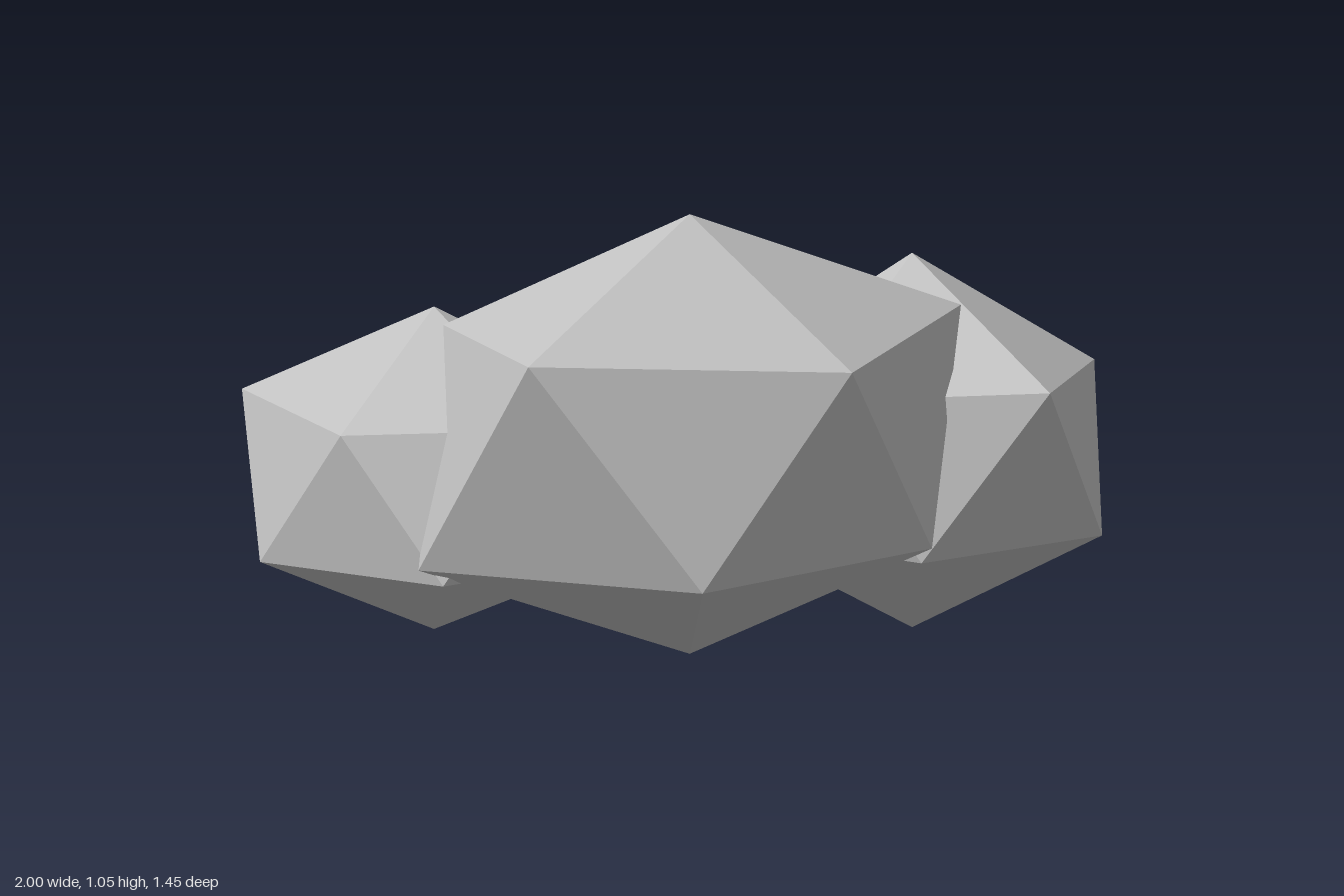
import * as THREE from 'three';

// Irregular twenty-sided boulder: two poles and two staggered rings of five.
// Ring radii vary per corner; ring height follows the radius (squashed icosahedron).
function boulder(name, material, { x, z, mid, top, bottom, upper, lower }) {
  const corner = (r, degrees, side) => {
    const a = THREE.MathUtils.degToRad(degrees);
    return [x + r * Math.cos(a), mid + side * 0.4 * r, z + r * Math.sin(a)];
  };
  const up = upper.map((r, i) => corner(r, i * 72, 1));
  const low = lower.map((r, i) => corner(r, i * 72 + 36, -1));
  const peak = [x, top, z];
  const foot = [x, bottom, z];

  const positions = [];
  for (let i = 0; i < 5; i++) {
    const j = (i + 1) % 5;
    positions.push(
      ...peak, ...up[j], ...up[i],
      ...up[i], ...up[j], ...low[i],
      ...low[i], ...up[j], ...low[j],
      ...foot, ...low[i], ...low[j]
    );
  }
  const geometry = new THREE.BufferGeometry();
  geometry.setAttribute('position', new THREE.Float32BufferAttribute(positions, 3));
  geometry.computeVertexNormals(); // unshared corners give flat facets
  const mesh = new THREE.Mesh(geometry, material);
  mesh.name = name;
  return mesh;
}

export function createModel() {
  const group = new THREE.Group();
  group.name = 'rockCluster';
  const stone = new THREE.MeshStandardMaterial({ color: 0xc0c0c0, flatShading: true });
  stone.name = 'stone grey';

  // Large central boulder
  group.add(boulder('largeBoulder', stone, {
    x: -0.09, z: 0.13, mid: 0.53, top: 1.055, bottom: 0.022,
    upper: [0.67, 0.6, 0.68, 0.59, 0.68],
    lower: [0.58, 0.625, 0.67, 0.585, 0.58],
  }));

  // Smaller boulder on the left side
  group.add(boulder('leftBoulder', stone, {
    x: 0.55, z: -0.11, mid: 0.42, top: 0.88, bottom: 0,
    upper: [0.45, 0.51, 0.45, 0.425, 0.443],
    lower: [0.455, 0.46, 0.44, 0.42, 0.41],
  }));

  // Smaller boulder at the back right
  group.add(boulder('backRightBoulder', stone, {
    x: -0.57, z: -0.27, mid: 0.4, top: 0.8, bottom: 0.042,
    upper: [0.43, 0.43, 0.394, 0.46, 0.48],
    lower: [0.43, 0.44, 0.43, 0.478, 0.46],
  }));

  return group;
}
